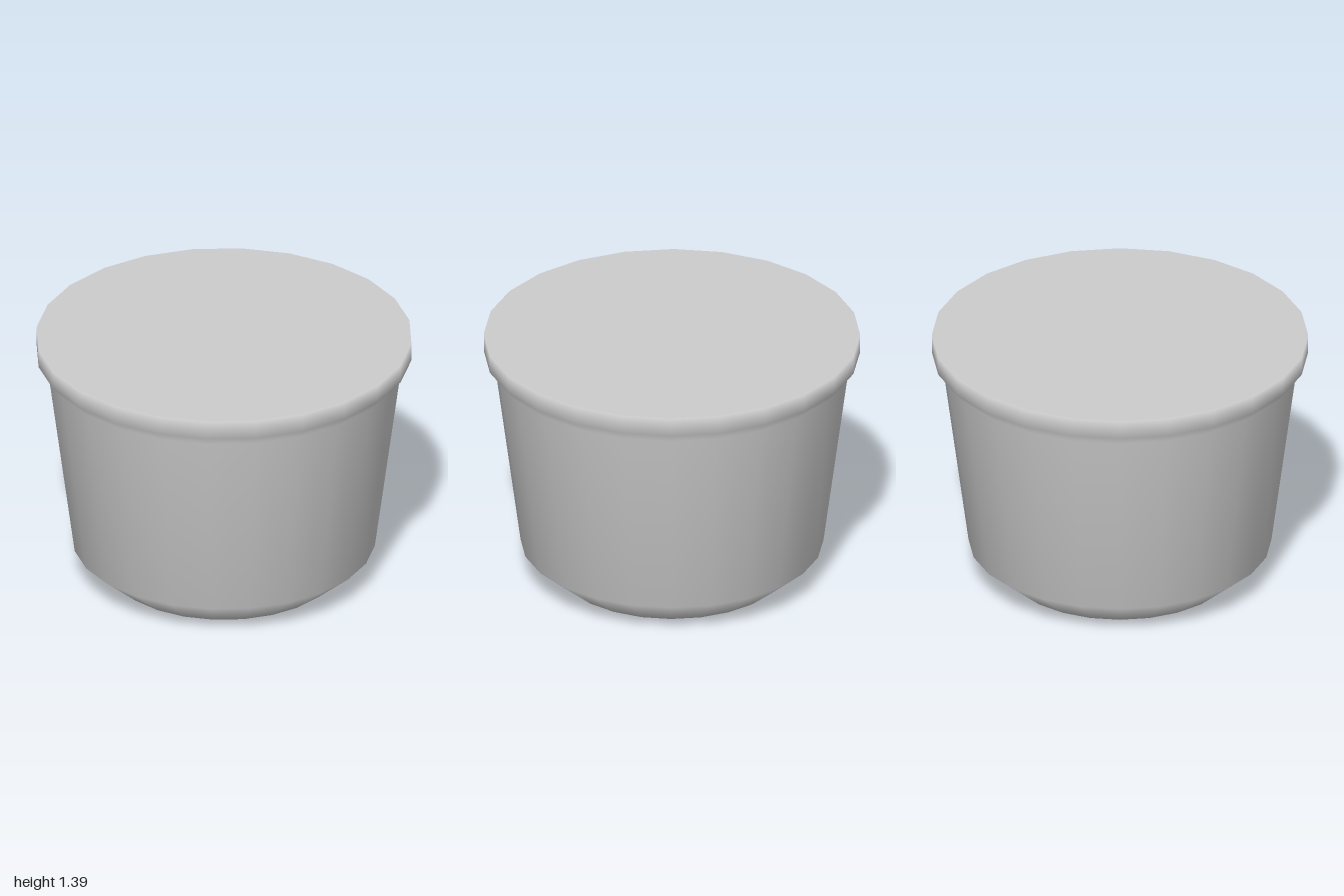
import * as THREE from 'three';

const SIDES = 24;

export function createModel() {
  const model = new THREE.Group();
  model.name = 'sealedCup';
  const grey = new THREE.MeshStandardMaterial({ color: 0xcccccc });
  grey.name = 'light grey';

  // Smooth tapered cup: base, bevel, wall, flared lip, closed at the top
  const profile = [
    [0, 0], [0.61, 0], [0.805, 0.165], [0.945, 1.225],
    [1, 1.285], [1, 1.388], [0, 1.388],
  ].map(([r, y]) => new THREE.Vector2(r, y));
  const cup = new THREE.Mesh(new THREE.LatheGeometry(profile, SIDES), grey);
  cup.name = 'cup';
  model.add(cup);

  // Flat lid face with its own straight-up normals
  const lid = new THREE.Mesh(new THREE.CircleGeometry(1, SIDES), grey);
  lid.name = 'lid';
  lid.rotation.x = -Math.PI / 2;
  lid.position.y = 1.39;
  model.add(lid);

  return model;
}
